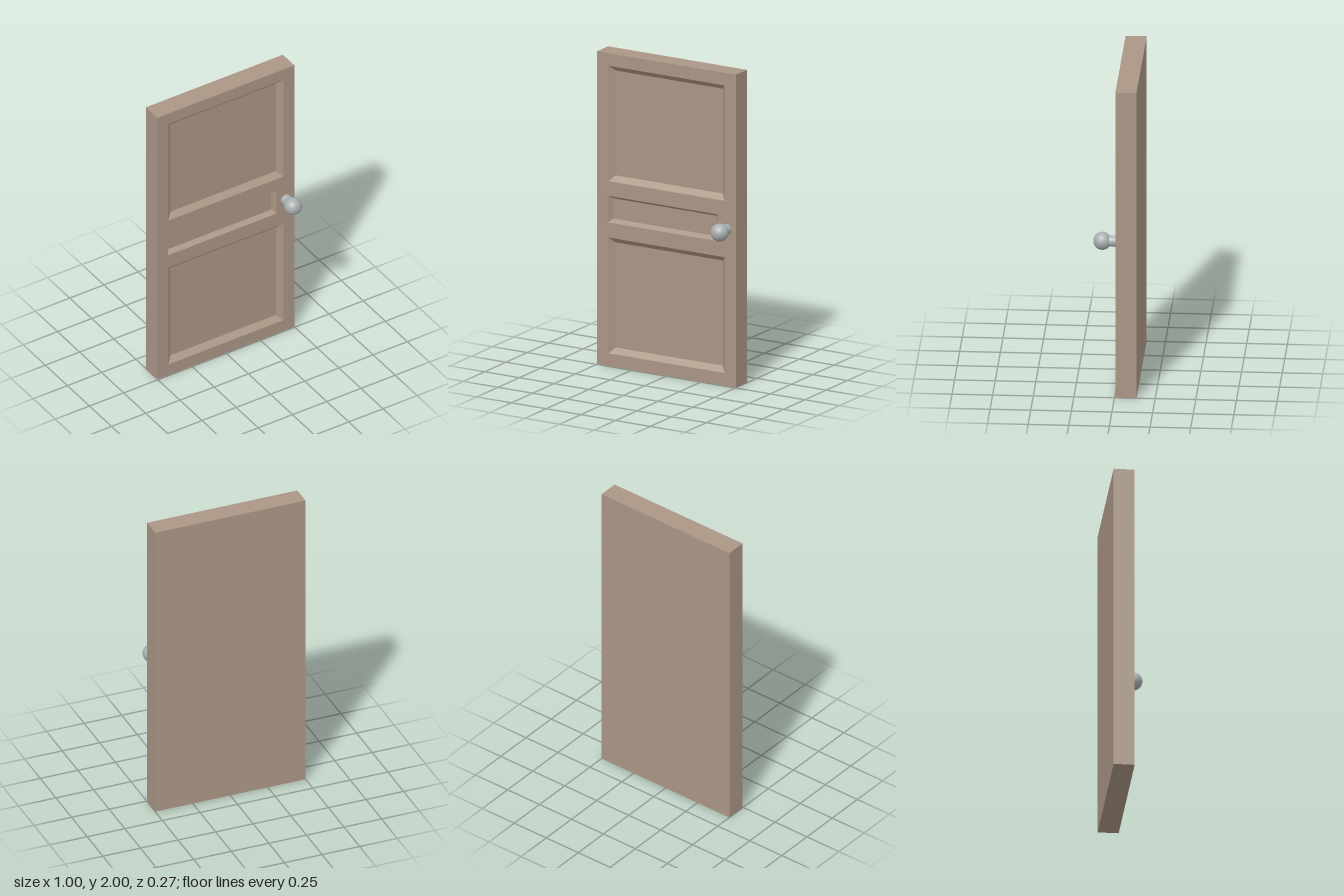
import * as THREE from 'three';

const FRONT = -0.005, BACK = -0.135;

const wood = new THREE.MeshStandardMaterial({ color: 0xaa9685 });
wood.name = 'brown wood';
const metal = new THREE.MeshStandardMaterial({ color: 0xa9b0b0 });
metal.name = 'grey metal';

// Recessed panels: outer rectangle, width of the sloped border, depth
const PANELS = [
  { name: 'upperPanel', x0: -0.42, x1: 0.42, y0: 1.182, y1: 1.92, bevel: 0.034, depth: 0.033 },
  { name: 'middlePanel', x0: -0.423, x1: 0.37, y0: 0.918, y1: 1.088, bevel: 0.02, depth: 0.03 },
  { name: 'lowerPanel', x0: -0.42, x1: 0.42, y0: 0.082, y1: 0.822, bevel: 0.034, depth: 0.033 },
];

// Rectangle corners, counter-clockwise seen from the front
function corners({ x0, x1, y0, y1 }, inset = 0) {
  return [
    [x0 + inset, y0 + inset], [x1 - inset, y0 + inset],
    [x1 - inset, y1 - inset], [x0 + inset, y1 - inset],
  ];
}

// Four sloped borders leading down to a flat floor
function recessGeometry(panel) {
  const outer = corners(panel).map(p => [...p, FRONT]);
  const inner = corners(panel, panel.bevel).map(p => [...p, FRONT - panel.depth]);
  const pos = [];
  const quad = (a, b, c, d) => pos.push(...a, ...b, ...c, ...a, ...c, ...d);
  for (let i = 0; i < 4; i++) {
    const j = (i + 1) % 4;
    quad(outer[i], outer[j], inner[j], inner[i]);
  }
  quad(...inner);
  const geo = new THREE.BufferGeometry();
  geo.setAttribute('position', new THREE.Float32BufferAttribute(pos, 3));
  geo.computeVertexNormals();
  return geo;
}

export function createModel() {
  const door = new THREE.Group();
  door.name = 'door';
  const add = (name, geo, mat, x = 0, y = 0, z = 0) => {
    const mesh = new THREE.Mesh(geo, mat);
    mesh.name = name;
    mesh.position.set(x, y, z);
    door.add(mesh);
    return mesh;
  };

  // Slab: a box left open at the front
  const slab = new THREE.BoxGeometry(1, 2, FRONT - BACK);
  const index = Array.from(slab.index.array);
  index.splice(24, 6);
  slab.setIndex(index);
  slab.clearGroups();
  add('slab', slab, wood, 0, 1, (FRONT + BACK) / 2);

  // Front face with an opening for each panel
  const toPoints = list => list.map(([x, y]) => new THREE.Vector2(x, y));
  const face = new THREE.Shape(toPoints(corners({ x0: -0.5, x1: 0.5, y0: 0, y1: 2 })));
  for (const panel of PANELS) face.holes.push(new THREE.Path(toPoints(corners(panel)).reverse()));
  add('frontFrame', new THREE.ShapeGeometry(face), wood, 0, 0, FRONT);

  for (const panel of PANELS) add(panel.name, recessGeometry(panel), wood);

  // Door knob on a short stem
  const stem = add('knobStem', new THREE.CylinderGeometry(0.035, 0.035, 0.065, 32), metal, 0.435, 1.003, FRONT + 0.0325);
  stem.rotation.x = Math.PI / 2;
  add('knob', new THREE.SphereGeometry(0.056, 32, 20), metal, 0.435, 1.003, 0.079);

  return door;
}
